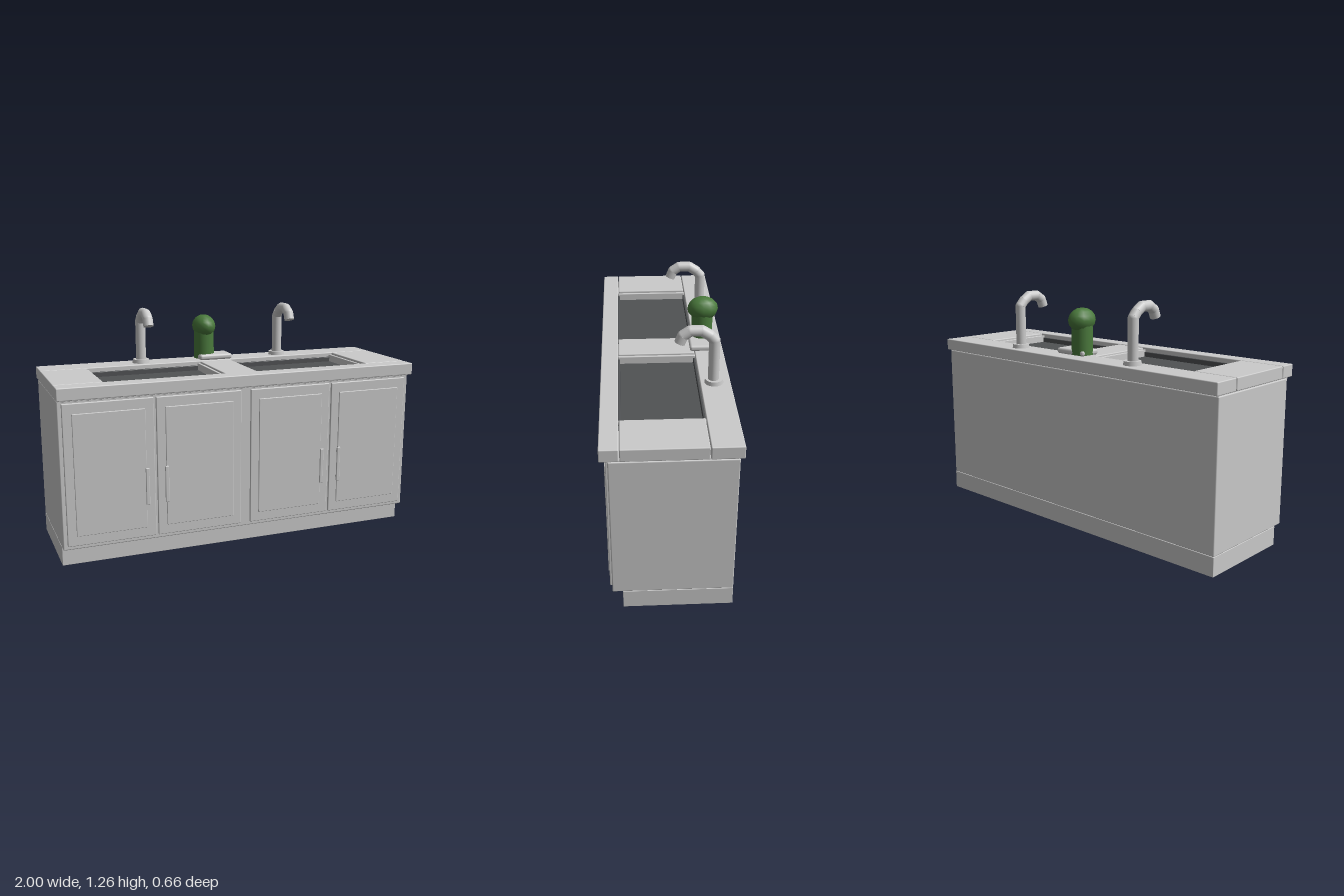
import * as THREE from 'three';
import { RoundedBoxGeometry } from 'three/addons/geometries/RoundedBoxGeometry.js';

export function createModel() {
  const model = new THREE.Group();
  model.name = 'doubleSinkCabinet';
  const grey = new THREE.MeshStandardMaterial({ color: 0xcccccc });
  const dark = new THREE.MeshStandardMaterial({ color: 0x505254 });
  const green = new THREE.MeshStandardMaterial({ color: 0x4a7a3c });

  const add = (name, geometry, material = grey, parent = model) => {
    const mesh = new THREE.Mesh(geometry, material);
    mesh.name = name;
    parent.add(mesh);
    return mesh;
  };

  // Softly bevelled box given by its limits on each axis
  const box = (name, [x0, x1], [y0, y1], [z0, z1], r = 0.005, material = grey, parent = model) => {
    const mesh = add(name, new RoundedBoxGeometry(x1 - x0, y1 - y0, z1 - z0, 2, r), material, parent);
    mesh.position.set((x0 + x1) / 2, (y0 + y1) / 2, (z0 + z1) / 2);
    return mesh;
  };

  // Cabinet body and recessed plinth
  box('plinth', [-0.995, 0.995], [0, 0.102], [-0.308, 0.238], 0.002);
  box('cabinetBody', [-0.995, 0.995], [0.102, 0.88], [-0.308, 0.29], 0.006);

  // Four doors with raised panels and bar handles
  const doors = [[-0.74, 1], [-0.262, -1], [0.259, 1], [0.738, -1]];
  for (const [x, side] of doors) {
    const door = new THREE.Group();
    door.name = 'door';
    door.position.x = x;
    model.add(door);
    box('doorSlab', [-0.233, 0.233], [0.123, 0.865], [0.285, 0.301], 0.004, grey, door);
    box('doorPanel', [-0.186, 0.186], [0.175, 0.812], [0.295, 0.307], 0.003, grey, door);
    const hx = side * 0.187;
    box('handleBar', [hx - 0.01, hx + 0.01], [0.305, 0.502], [0.313, 0.323], 0.004, grey, door);
    for (const y of [0.33, 0.475])
      box('handlePost', [hx - 0.006, hx + 0.006], [y - 0.007, y + 0.007], [0.3, 0.316], 0.002, grey, door);
  }

  // Countertop slabs framing the sinks
  box('counterFront', [-1, 1], [0.885, 0.95], [0.239, 0.329]);
  box('counterBack', [-1, 1], [0.885, 0.95], [-0.328, -0.174]);
  for (const s of [-1, 1]) {
    const edge = [s * 0.752, s].sort((a, b) => a - b);
    box('counterEnd', edge, [0.885, 0.95], [-0.17, 0.235]);
  }
  box('counterCore', [-0.99, 0.99], [0.875, 0.888], [-0.3, 0.3], 0.002);
  box('sinkDivider', [-0.093, 0.091], [0.885, 0.947], [-0.172, 0.237]);

  // Shallow dark basins with thin rims
  for (const [x0, x1] of [[-0.752, -0.093], [0.091, 0.752]]) {
    box('basinFloor', [x0, x1], [0.885, 0.898], [-0.174, 0.239], 0.002, dark);
    for (const x of [x0, x1 - 0.016])
      box('basinSideRim', [x, x + 0.016], [0.89, 0.938], [-0.174, 0.239], 0.003);
    for (const z of [-0.176, 0.229])
      box('basinLongRim', [x0, x1], [0.89, 0.925], [z, z + 0.012], 0.003, dark);
  }

  // Hooked faucets made of straight pipe pieces and round joints
  const path = [[0.955, -0.24], [1.185, -0.24], [1.212, -0.216], [1.237, -0.177],
    [1.237, -0.119], [1.213, -0.083], [1.175, -0.068]]
    .map(([y, z]) => new THREE.Vector3(0, y, z));
  const up = new THREE.Vector3(0, 1, 0);
  for (const x of [-0.424, 0.416]) {
    const faucet = new THREE.Group();
    faucet.name = 'faucet';
    faucet.position.x = x;
    model.add(faucet);
    const flange = add('faucetFlange', new THREE.CylinderGeometry(0.045, 0.048, 0.022, 24), grey, faucet);
    flange.position.set(0, 0.96, -0.243);
    for (let i = 1; i < path.length; i++) {
      const dir = path[i].clone().sub(path[i - 1]);
      const pipe = add('faucetPipe', new THREE.CylinderGeometry(0.028, 0.028, dir.length(), 16), grey, faucet);
      pipe.position.copy(path[i]).add(path[i - 1]).multiplyScalar(0.5);
      pipe.quaternion.setFromUnitVectors(up, dir.normalize());
      if (i < path.length - 1)
        add('faucetJoint', new THREE.SphereGeometry(0.028, 16, 10), grey, faucet).position.copy(path[i]);
    }
  }

  // Tray with a small green plant
  box('tray', [-0.1, 0.094], [0.955, 0.987], [-0.27, -0.147], 0.013);
  add('plantStem', new THREE.CylinderGeometry(0.057, 0.057, 0.18, 16), green).position.set(-0.053, 1.05, -0.222);
  const crown = add('plantCrown', new THREE.SphereGeometry(0.065, 12, 8), green);
  crown.scale.z = 1.28;
  crown.position.set(-0.053, 1.144, -0.224);

  return model;
}
